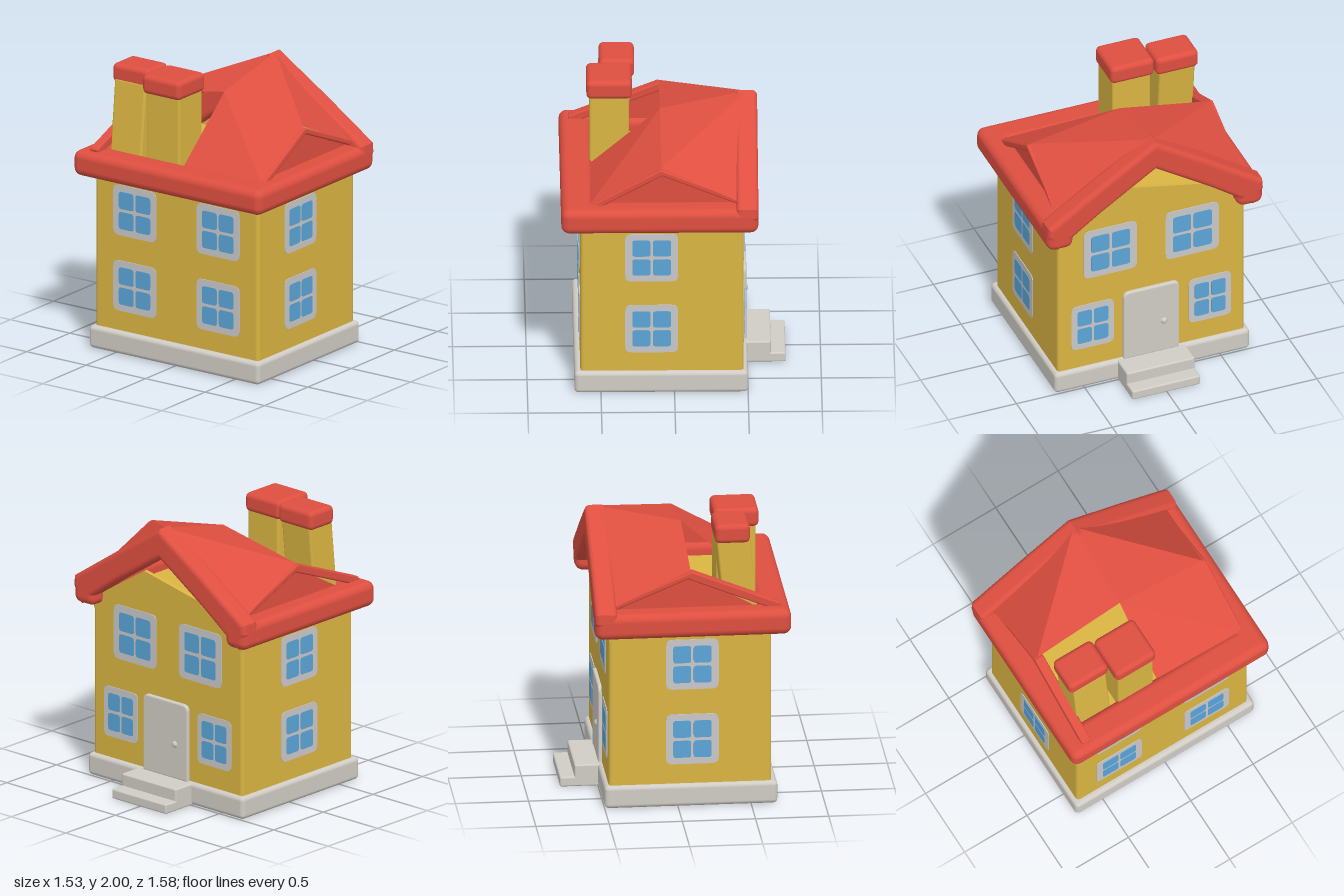
import * as THREE from 'three';
import { RoundedBoxGeometry } from 'three/addons/geometries/RoundedBoxGeometry.js';

const mat = (name, color) => {
  const m = new THREE.MeshStandardMaterial({ color, side: THREE.DoubleSide });
  m.name = name;
  return m;
};

export function createModel() {
  const house = new THREE.Group();
  house.name = 'house';
  const red = mat('roofRed', 0xde4f40);
  const yellow = mat('wallYellow', 0xdab542);
  const stone = mat('stoneGrey', 0xd0ccc5);
  const trim = mat('trimGrey', 0xcac8c9);
  const blue = mat('glassBlue', 0x5aa5d8);

  const add = (name, geo, material, parent = house) => {
    const m = new THREE.Mesh(geo, material);
    m.name = name;
    parent.add(m);
    return m;
  };
  // rounded box given by its minimum and maximum corners
  const block = (name, a, b, r, material) => {
    const s = b.map((v, i) => v - a[i]);
    const m = add(name, new RoundedBoxGeometry(s[0], s[1], s[2], 3, r), material);
    m.position.set(...a.map((v, i) => (v + b[i]) / 2));
    return m;
  };
  const polygon = (pts) => new THREE.Shape(pts.map((p) => new THREE.Vector2(...p)));

  // base, walls and steps
  block('base', [-0.68, 0, -0.715], [0.5, 0.16, 0.715], 0.03, stone);
  block('walls', [-0.64, 0.13, -0.685], [0.47, 1.33, 0.685], 0.025, yellow);
  block('upperStep', [0.45, 0, -0.245], [0.66, 0.155, 0.255], 0.012, stone);
  block('lowerStep', [0.45, 0, -0.245], [0.76, 0.07, 0.255], 0.012, stone);

  // gable wall above the door side
  const gable = new THREE.ExtrudeGeometry(
    polygon([[-0.68, 1.2], [0.68, 1.2], [0.68, 1.28], [0.22, 1.57], [-0.42, 1.44], [-0.68, 1.26]]),
    { depth: 0.03, bevelEnabled: false });
  gable.rotateY(-Math.PI / 2).translate(0.47, 0, 0);
  add('gableWall', gable, yellow);

  // windows: thin rounded plates, placed on a wall by side, offset and height
  const plate = (w, h, r, depth) => {
    const x = w / 2, y = h / 2, s = new THREE.Shape();
    s.moveTo(-x + r, -y).lineTo(x - r, -y).quadraticCurveTo(x, -y, x, -y + r)
      .lineTo(x, y - r).quadraticCurveTo(x, y, x - r, y)
      .lineTo(-x + r, y).quadraticCurveTo(-x, y, -x, y - r)
      .lineTo(-x, -y + r).quadraticCurveTo(-x, -y, -x + r, -y);
    return new THREE.ExtrudeGeometry(s, { depth, bevelEnabled: false, curveSegments: 4 });
  };
  const addWindow = (angle, pos, w, h) => {
    const g = new THREE.Group();
    g.name = 'window';
    add('windowFrame', plate(w, h, 0.045, 0.005), trim, g);
    const pw = w * 0.34, ph = h * 0.34;
    for (const i of [-1, 1]) for (const j of [-1, 1]) {
      add('windowPane', plate(pw, ph, 0.02, 0.008), blue, g)
        .position.set(i * w * 0.195, j * h * 0.2, 0);
    }
    g.position.set(...pos);
    g.rotation.y = angle;
    house.add(g);
  };
  for (const y of [0.48, 1.02]) {
    addWindow(0, [-0.155, y, 0.685], 0.36, 0.36);
    addWindow(Math.PI, [-0.1, y, -0.685], 0.36, 0.36);
    for (const z of [-0.35, 0.35]) addWindow(-Math.PI / 2, [-0.64, y, z], 0.36, 0.36);
  }
  for (const s of [-1, 1]) {
    addWindow(Math.PI / 2, [0.47, 1.08, s * 0.3], 0.39, 0.39);
    addWindow(Math.PI / 2, [0.47, 0.49, s * 0.43], 0.31, 0.36);
  }

  // door with arched-corner surround and knob
  const surround = new THREE.Shape();
  surround.moveTo(-0.2, 0.15).lineTo(0.21, 0.15).lineTo(0.21, 0.65)
    .quadraticCurveTo(0.21, 0.7, 0.16, 0.7).lineTo(-0.15, 0.7).quadraticCurveTo(-0.2, 0.7, -0.2, 0.65);
  surround.holes.push(polygon([[-0.15, 0.15], [-0.15, 0.64], [0.16, 0.64], [0.16, 0.15]]));
  const frame = new THREE.ExtrudeGeometry(surround, {
    depth: 0.03, bevelThickness: 0.012, bevelSize: 0.012, bevelOffset: -0.012, bevelSegments: 3 });
  frame.rotateY(-Math.PI / 2).translate(0.483, 0, 0);
  add('doorFrame', frame, stone);
  block('door', [0.46, 0.15, -0.152], [0.478, 0.64, 0.162], 0.004, red);
  add('doorKnob', new THREE.SphereGeometry(0.026, 16, 12), stone).position.set(0.485, 0.4, -0.085);

  // eaves on three sides
  for (const s of [-1, 1]) {
    const [z0, z1] = s > 0 ? [0.6, 0.79] : [-0.79, -0.6];
    block('sideEave', [-0.77, 1.24, z0], [0.57, 1.42, z1], 0.055, red);
  }
  block('rearEave', [-0.77, 1.24, -0.79], [-0.55, 1.42, 0.79], 0.055, red);

  // thick rounded chevron over the door side
  const verge = new THREE.ExtrudeGeometry(
    polygon([[0, 1.945], [0.4, 1.69], [0.785, 1.43], [0.79, 1.36], [0.72, 1.24], [0.4, 1.47], [0, 1.73],
      [-0.4, 1.47], [-0.72, 1.24], [-0.79, 1.36], [-0.785, 1.43], [-0.4, 1.69]]),
    { depth: 0.08, bevelThickness: 0.035, bevelSize: 0.035, bevelOffset: -0.035, bevelSegments: 4 });
  verge.rotateY(-Math.PI / 2).translate(0.535, 0, 0);
  add('gableVerge', verge, red);

  // roof planes: main ridge along x, crossed by a ridge at x = -0.09
  const surface = (name, tris) => {
    const g = new THREE.BufferGeometry();
    g.setAttribute('position', new THREE.Float32BufferAttribute(tris.flat(2), 3));
    g.computeVertexNormals();
    add(name, g, red);
  };
  const flip = (tris, s) => tris.map((t) => {
    const q = t.map(([x, y, z]) => [x, y, z * s]);
    return s < 0 ? q.reverse() : q;
  });
  const top = [0.5, 1.94, 0], mid = [-0.09, 1.81, 0];
  const peak = [-0.09, 1.69, 0.66], foot = [0.48, 1.43, 0.7], corner = [0.52, 1.42, 0.76];
  const low = [-0.56, 1.4, 0], lowOut = [-0.59, 1.4, 0.68];
  for (const s of [1, -1]) {
    surface('roofSlope', flip([[top, mid, peak], [top, peak, foot], [top, foot, corner]], s));
    surface('pediment', flip([[[-0.58, 1.38, 0.63], [0.48, 1.38, 0.63], [-0.09, 1.66, 0.63]]], s));
  }
  surface('rearSlope', [[mid, low, lowOut], [mid, lowOut, peak]]);

  // raking bars along the pediments
  const rake = (from, to, thick) => {
    const a = new THREE.Vector3(...from), b = new THREE.Vector3(...to);
    const m = add('rakeBar', new RoundedBoxGeometry(a.distanceTo(b), thick, 0.07, 2, 0.012), red);
    m.position.copy(a).add(b).multiplyScalar(0.5);
    m.rotation.z = Math.atan2(b.y - a.y, b.x - a.x);
  };
  rake([-0.57, 1.39, 0.65], [-0.08, 1.665, 0.65], 0.045);
  rake([-0.1, 1.665, 0.65], [0.46, 1.43, 0.65], 0.04);
  rake([-0.7, 1.41, -0.65], [-0.08, 1.66, -0.65], 0.06);
  rake([-0.1, 1.665, -0.65], [0.46, 1.43, -0.65], 0.04);

  // two chimneys, the second one leaning slightly
  block('chimneyStack', [-0.57, 1.3, -0.31], [-0.3, 1.9, -0.03], 0.015, yellow);
  block('chimneyCap', [-0.59, 1.865, -0.335], [-0.28, 2, -0.015], 0.035, red);
  const lean = block('chimneyStack', [-0.56, 1.3, -0.625], [-0.33, 1.9, -0.365], 0.015, yellow);
  const p = lean.geometry.attributes.position;
  for (let i = 0; i < p.count; i++) p.setX(i, p.getX(i) + (p.getY(i) + 0.3) * 0.1);
  lean.geometry.computeVertexNormals();
  block('chimneyCap', [-0.5, 1.865, -0.65], [-0.26, 2, -0.34], 0.035, red);

  return house;
}
